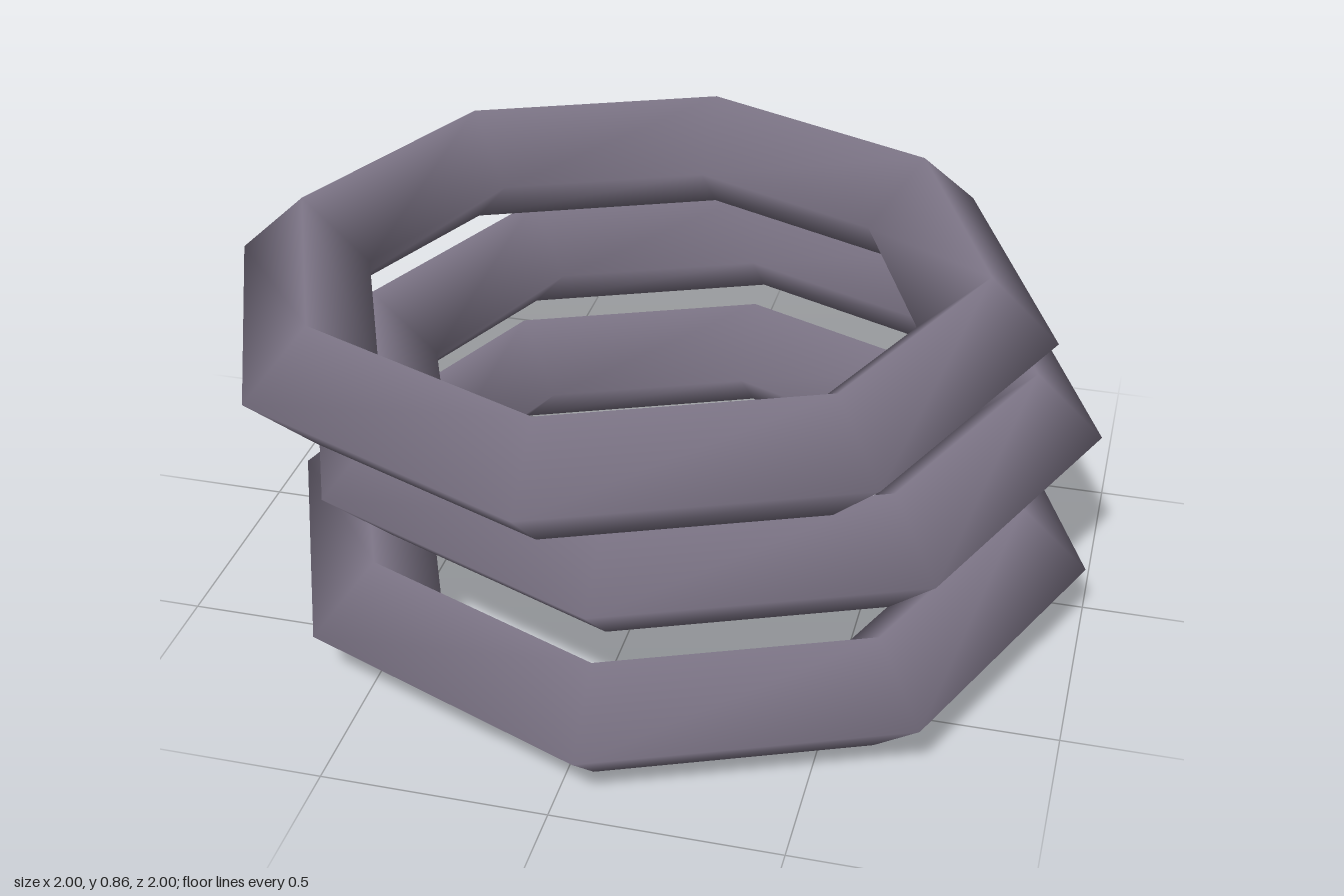
import * as THREE from 'three';

export function createModel() {
  const group = new THREE.Group();
  const metal = new THREE.MeshStandardMaterial({ color: 0x80788a });
  metal.name = 'purpleGrey';

  // Eight-sided ring with a diamond section, slightly flattened in height
  const ringGeometry = new THREE.TorusGeometry(0.79, 0.155, 4, 8);
  ringGeometry.rotateX(-Math.PI / 2);
  ringGeometry.scale(1, 0.144 / 0.155, 1);

  // Loose stack of three rings, each shifted a little sideways
  const offset = 0.055;
  const rings = [
    ['bottomRing', offset, 0.144, offset],
    ['middleRing', offset, 0.432, -offset],
    ['topRing', -offset, 0.72, offset],
  ];
  for (const [name, x, y, z] of rings) {
    const ring = new THREE.Mesh(ringGeometry, metal);
    ring.name = name;
    ring.position.set(x, y, z);
    group.add(ring);
  }
  return group;
}
